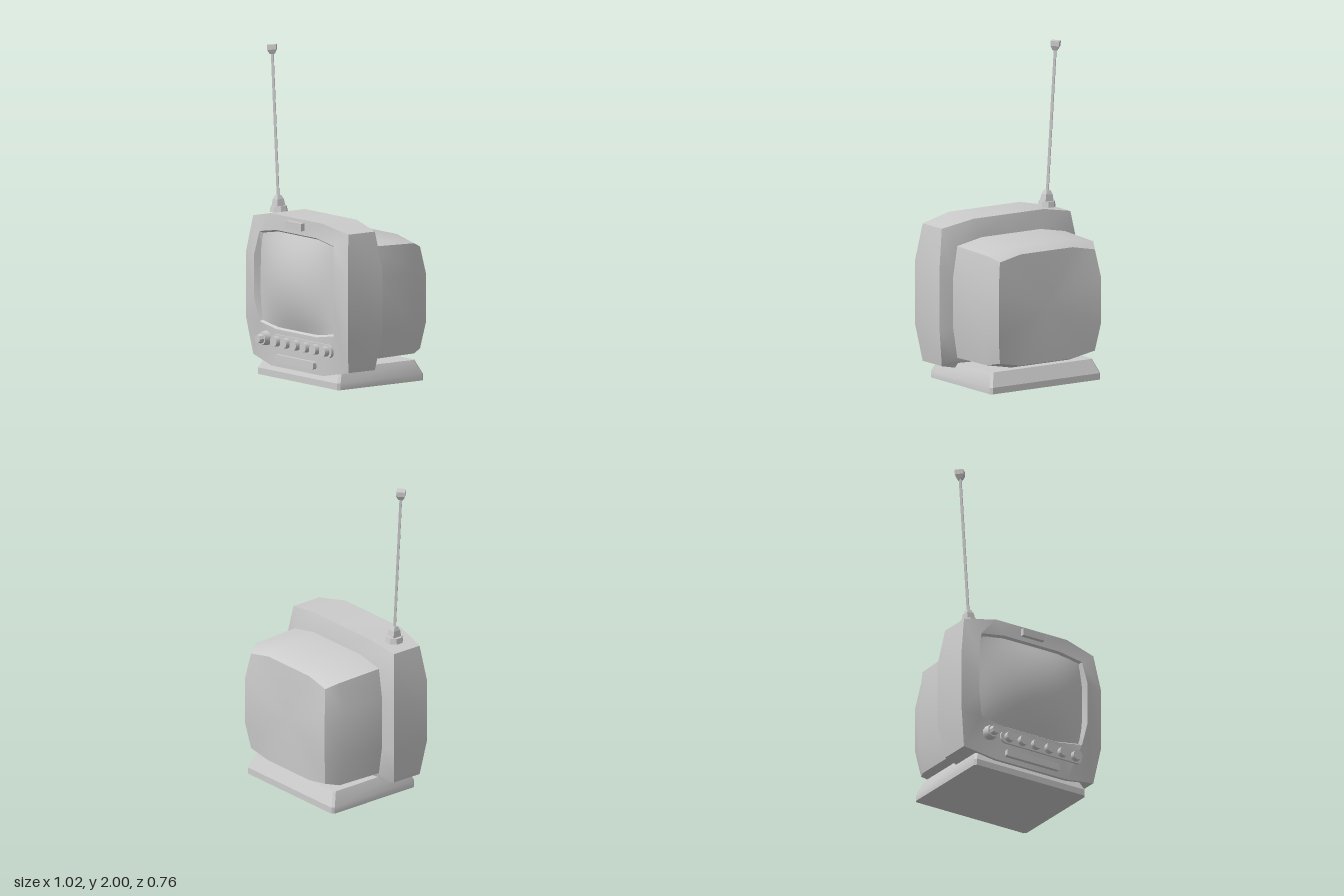
import * as THREE from 'three';
import { toCreasedNormals } from 'three/addons/utils/BufferGeometryUtils.js';

const grey = new THREE.MeshStandardMaterial({ color: 0xcccccc });
const screenGrey = new THREE.MeshStandardMaterial({ color: 0xcccccc, side: THREE.DoubleSide });

// Unit outlines, clockwise from the top as seen from the front (right half, then mirrored)
const mirrorHalf = (half) => [
  ...half,
  ...half.slice(1, -1).reverse().map(([x, y]) => [-x, y]),
];
const SOFT = mirrorHalf([[0, 1], [0.51, 1], [0.93, 0.91], [1, 0.43], [1, -0.43], [0.93, -0.91], [0.51, -1], [0, -1]]);
const BOXY = mirrorHalf([[0, 1], [0.97, 1], [1, 0.95], [1, -0.95], [0.97, -1], [0, -1]]);

// One cross-section: half width, lowest and highest y, and a depth rule z(ux, uy)
function ring(outline, hw, y0, y1, z) {
  return outline.map(([u, v]) => new THREE.Vector3(
    u * hw, (y0 + y1) / 2 + v * (y1 - y0) / 2, typeof z === 'function' ? z(u, v) : z));
}

// Skin over cross-sections ordered from back to front; each end may be closed
function loft(rings, crease, capBack, capFront) {
  const n = rings[0].length;
  const points = rings.flat();
  const index = [];
  for (let i = 0; i < rings.length - 1; i++) {
    for (let j = 0; j < n; j++) {
      const a = i * n + j, b = i * n + (j + 1) % n;
      index.push(a, a + n, b, b, a + n, b + n);
    }
  }
  const cap = (r, front) => {
    const c = new THREE.Vector3();
    rings[r].forEach((p) => c.addScaledVector(p, 1 / n));
    points.push(c);
    for (let j = 0; j < n; j++) {
      const a = r * n + j, b = r * n + (j + 1) % n;
      index.push(points.length - 1, front ? b : a, front ? a : b);
    }
  };
  if (capBack) cap(0, false);
  if (capFront) cap(rings.length - 1, true);
  const g = new THREE.BufferGeometry().setFromPoints(points);
  g.setIndex(index);
  return toCreasedNormals(g, crease);
}

// Flat plate with rounded ends, extruded forward
function plate(w, h, r, depth) {
  const s = new THREE.Shape();
  const x = w / 2 - r, y = h / 2 - r;
  s.absarc(x, y, r, 0, Math.PI / 2);
  s.absarc(-x, y, r, Math.PI / 2, Math.PI);
  s.absarc(-x, -y, r, Math.PI, Math.PI * 1.5);
  s.absarc(x, -y, r, Math.PI * 1.5, Math.PI * 2);
  return new THREE.ExtrudeGeometry(s, { depth, bevelEnabled: false, curveSegments: 5 });
}

export function createModel() {
  const model = new THREE.Group();
  const add = (name, geometry, x = 0, y = 0, z = 0, parent = model) => {
    const m = new THREE.Mesh(geometry, grey);
    m.name = name;
    m.position.set(x, y, z);
    parent.add(m);
    return m;
  };

  // Front housing: its corners are drawn in towards mid-depth, its mouth holds the screen
  const pulled = (z) => (u, v) => {
    const corner = Math.abs(u) > 0.9 && Math.abs(v) > 0.9;
    return 0.187 + (z - 0.187) * (corner ? 0.78 : 1);
  };
  add('frontHousing', loft([
    ring(SOFT, 0.43, 0.13, 0.88, 0.03),
    ring(SOFT, 0.508, 0.07, 1.0, pulled(0.056)),
    ring(SOFT, 0.508, 0.07, 1.0, pulled(0.315)),
    ring(SOFT, 0.395, 0.3, 0.905, (u) => (Math.abs(u) === 1 ? 0.34 : 0.32)),
    ring(SOFT, 0.375, 0.315, 0.89, 0.295),
  ], 0.9, true, false));

  // Bulging screen
  const glass = new THREE.PlaneGeometry(0.77, 0.6, 10, 10);
  const p = glass.attributes.position;
  for (let i = 0; i < p.count; i++) {
    const u = p.getX(i) / 0.385, v = p.getY(i) / 0.3;
    p.setZ(i, 0.07 * (1 - u * u) * (1 - v * v));
  }
  glass.computeVertexNormals();
  add('screen', glass, 0, 0.603, 0.3).material = screenGrey;

  // Rear casing, its back face bowed at mid-height
  add('rearCasing', loft([
    ring(SOFT, 0.375, 0.155, 0.84, (u, v) => -0.385 + 0.04 * v * v),
    ring(SOFT, 0.42, 0.135, 0.875, (u, v) => -0.25 - 0.03 * v * v),
    ring(SOFT, 0.427, 0.13, 0.887, 0.06),
  ], 0.9, true, true));

  // Foot, lofted upwards: the sections lie flat, front towards +z
  const foot = loft([
    ring(BOXY, 0.405, -0.31, 0.34, 0),
    ring(BOXY, 0.405, -0.31, 0.34, 0.04),
    ring(BOXY, 0.37, -0.27, 0.3, 0.125),
  ], 0.4, true, true);
  foot.rotateX(-Math.PI / 2);
  add('foot', foot);

  // Controls below the screen
  add('buttonPanel', plate(0.59, 0.08, 0.035, 0.04), 0.065, 0.23, 0.29);
  const button = new THREE.CylinderGeometry(0.032, 0.032, 0.07, 14).rotateX(Math.PI / 2);
  for (let i = 0; i < 6; i++) add('button', button, -0.175 + i * 0.097, 0.23, 0.328);
  add('slotBar', plate(0.385, 0.046, 0.012, 0.06), 0, 0.126, 0.28);
  add('topBadge', new THREE.BoxGeometry(0.155, 0.046, 0.06), 0, 0.957, 0.315);

  // Tuning knob with a stepped grip
  const knob = new THREE.Group();
  knob.name = 'tuningKnob';
  knob.position.set(-0.303, 0.233, 0);
  model.add(knob);
  add('knobSkirt', toCreasedNormals(new THREE.CylinderGeometry(0.04, 0.048, 0.06, 10).rotateX(Math.PI / 2), 0.7), 0, 0, 0.325, knob);
  add('knobGrip', toCreasedNormals(new THREE.CylinderGeometry(0.025, 0.033, 0.04, 8).rotateX(Math.PI / 2), 0.7), 0, 0, 0.364, knob);

  // Aerial, leaning outwards from its socket
  const aerial = new THREE.Group();
  aerial.name = 'aerial';
  aerial.position.set(-0.362, 0.99, 0.178);
  aerial.rotation.z = 0.067;
  model.add(aerial);
  const facet = (top, bottom, h, sides, turn = 0) =>
    toCreasedNormals(new THREE.CylinderGeometry(top, bottom, h, sides).rotateY(turn), 0.5);
  add('aerialSocket', facet(0.05, 0.057, 0.035, 8, Math.PI / 8), 0, 0.012, 0, aerial);
  add('aerialCollar', facet(0.034, 0.043, 0.045, 4, Math.PI / 4), 0, 0.048, 0, aerial);
  add('aerialCollarTop', facet(0.02, 0.034, 0.025, 4, Math.PI / 4), 0, 0.082, 0, aerial);
  add('aerialRod', facet(0.011, 0.011, 0.88, 4), 0, 0.52, 0, aerial);
  add('aerialTip', facet(0.038, 0.038, 0.03, 4), 0, 0.994, 0, aerial);
  add('aerialTipTaper', facet(0.038, 0.02, 0.028, 4), 0, 0.965, 0, aerial);

  return model;
}
